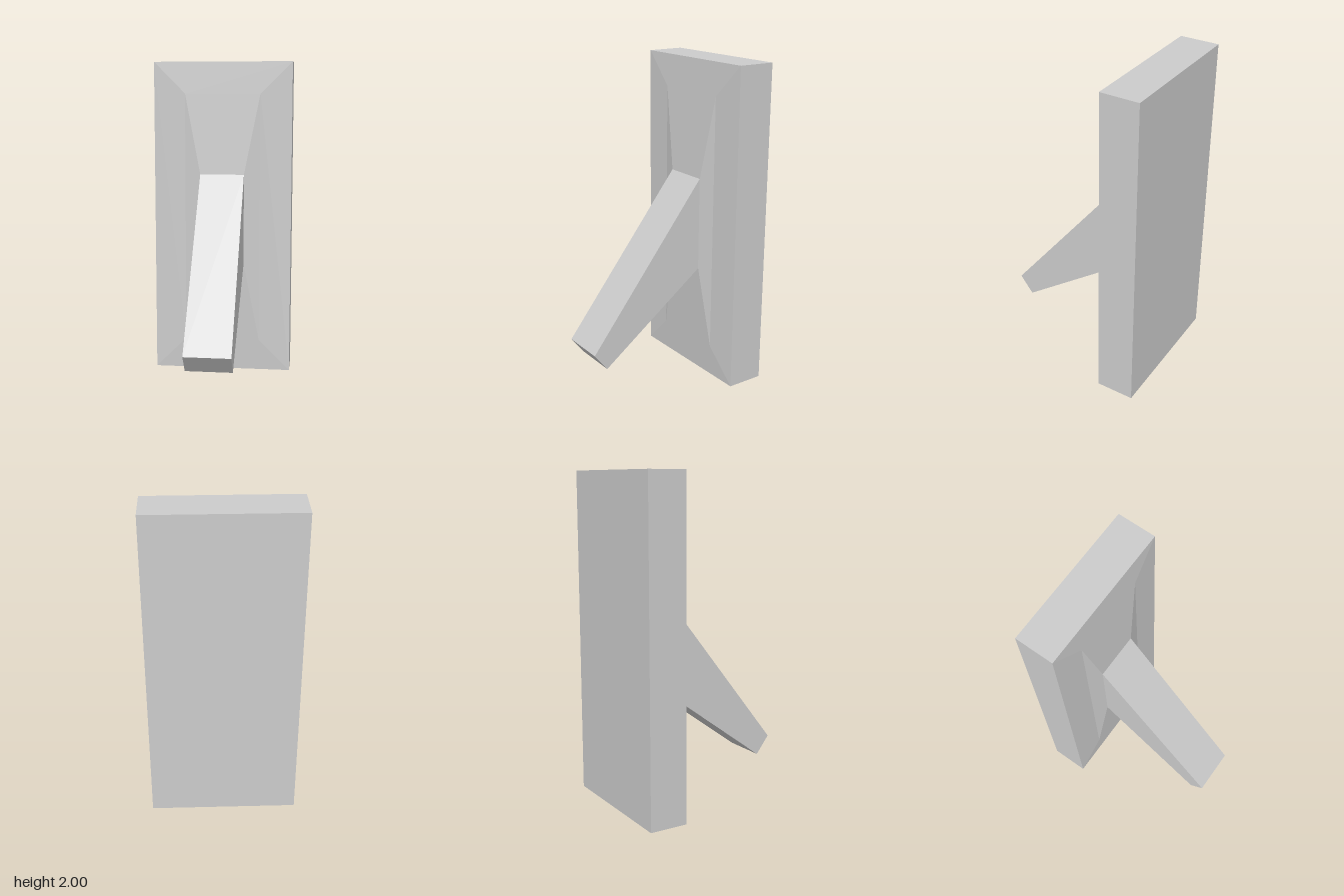
import * as THREE from 'three';

const material = new THREE.MeshStandardMaterial({ color: 0xcccccc, flatShading: true });

// Four-cornered cross-section: half width, bottom edge (y, z) and top edge (y, z)
const section = (w, y0, z0, y1, z1) => [[w, y0, z0], [w, y1, z1], [-w, y1, z1], [-w, y0, z0]];

// Skin a run of cross-sections from back to front, with optional end caps
function loft(name, sections, capBack, capFront) {
  const pos = [];
  const quad = (a, b, c, d) => pos.push(...a, ...b, ...c, ...a, ...c, ...d);
  for (let s = 0; s < sections.length - 1; s++) {
    const p = sections[s], q = sections[s + 1];
    for (let i = 0; i < 4; i++) {
      const j = (i + 1) % 4;
      quad(p[i], p[j], q[j], q[i]);
    }
  }
  if (capBack) quad(...[...sections[0]].reverse());
  if (capFront) quad(...sections[sections.length - 1]);
  const geometry = new THREE.BufferGeometry();
  geometry.setAttribute('position', new THREE.Float32BufferAttribute(pos, 3));
  geometry.computeVertexNormals();
  const mesh = new THREE.Mesh(geometry, material);
  mesh.name = name;
  return mesh;
}

export function createModel() {
  const group = new THREE.Group();
  group.name = 'leverSwitch';

  const back = section(0.44, 0, -0.52, 2, -0.52);
  const rim = section(0.44, 0, -0.285, 2, -0.285);
  const ridge = section(0.24, 0.2, -0.274, 1.8, -0.274);
  const leverRoot = section(0.14, 0.71, -0.245, 1.29, -0.245);
  const leverTip = section(0.14, 0.21, 0.435, 0.32, 0.52);

  // Flat slab against the wall
  group.add(loft('backPlate', [back, rim], true, false));
  // Shallow two-step slope rising to the lever
  group.add(loft('slopedFace', [rim, ridge, leverRoot], false, false));
  // Tapered lever angled down and forward
  group.add(loft('lever', [leverRoot, leverTip], false, true));

  return group;
}
